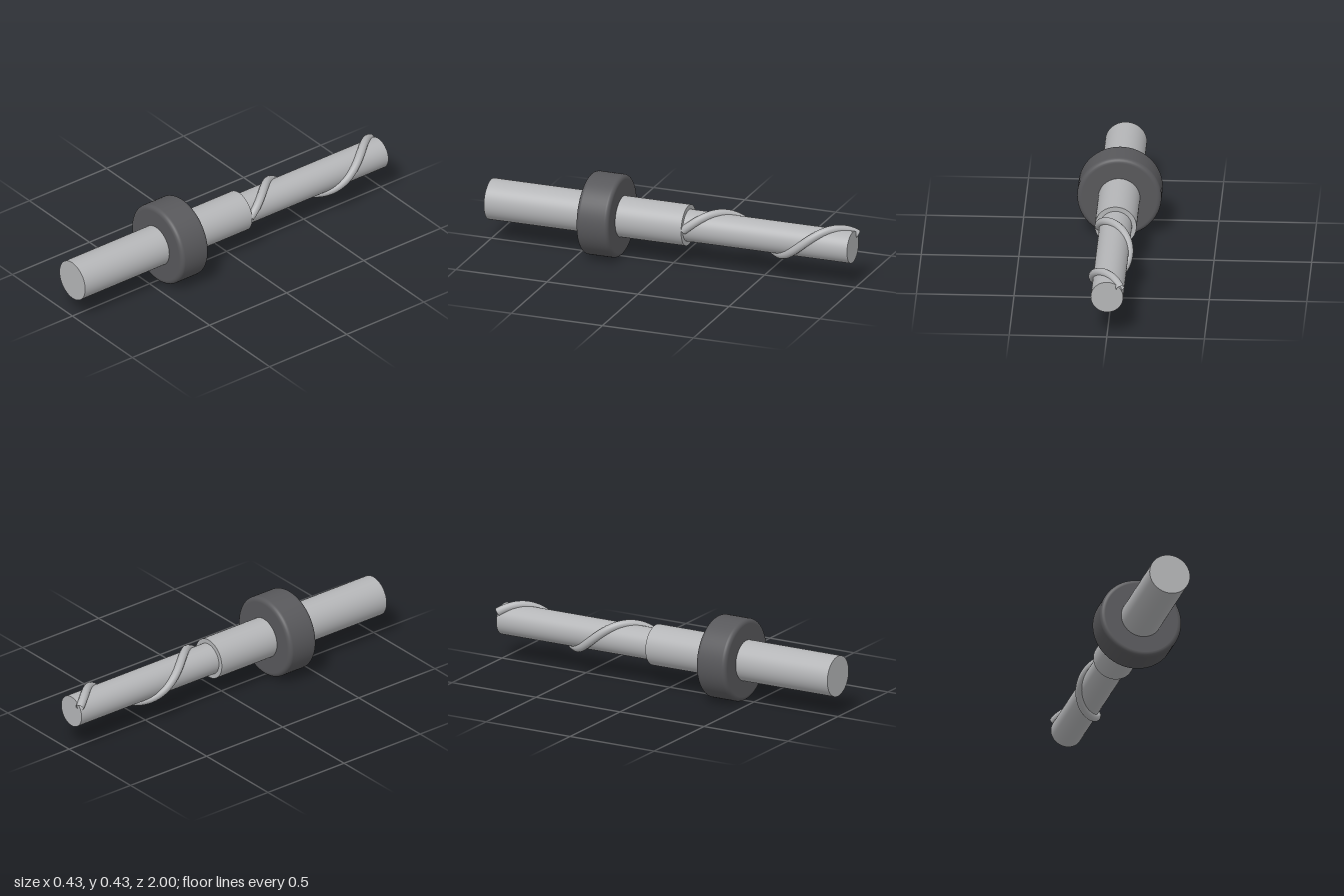
import * as THREE from 'three';

const AXIS_Y = 0.216;

// Helical path wound around the z axis
class Helix extends THREE.Curve {
  constructor(radius, zStart, zEnd, turns) {
    super();
    Object.assign(this, { radius, zStart, zEnd, turns });
  }
  getPoint(t, target = new THREE.Vector3()) {
    const a = t * this.turns * Math.PI * 2;
    return target.set(
      this.radius * Math.cos(a),
      this.radius * Math.sin(a),
      THREE.MathUtils.lerp(this.zStart, this.zEnd, t)
    );
  }
}

export function createModel() {
  const steel = new THREE.MeshStandardMaterial({ color: 0xb4b5b7, side: THREE.DoubleSide });
  steel.name = 'steel';
  const darkGrey = new THREE.MeshStandardMaterial({ color: 0x58585b });
  darkGrey.name = 'dark grey';

  const model = new THREE.Group();
  model.name = 'drillBit';
  const add = (name, geometry, material) => {
    const mesh = new THREE.Mesh(geometry, material);
    mesh.name = name;
    mesh.position.y = AXIS_Y;
    model.add(mesh);
  };

  // Solid round bar lying along z
  const bar = (radius, zBack, zFront) =>
    new THREE.CylinderGeometry(radius, radius, zFront - zBack, 64)
      .rotateX(Math.PI / 2)
      .translate(0, 0, (zBack + zFront) / 2);

  add('shank', bar(0.107, -0.083, 1), steel);
  add('shaft', bar(0.083, -0.985, -0.08), steel);

  // Stop collar: ring profile with rounded outer edges
  const outer = 0.216, inner = 0.1, half = 0.088, round = 0.022;
  const profile = [new THREE.Vector2(inner, -half), new THREE.Vector2(outer - round - 0.002, -half)];
  for (const [side, from] of [[-1, -Math.PI / 2], [1, 0]]) {
    for (let i = 0; i <= 6; i++) {
      const a = from + (i / 6) * (Math.PI / 2);
      profile.push(new THREE.Vector2(
        outer - round + round * Math.cos(a),
        side * (half - round) + round * Math.sin(a)
      ));
    }
  }
  profile.push(new THREE.Vector2(outer - round - 0.002, half), new THREE.Vector2(inner, half));
  const collar = new THREE.LatheGeometry(profile, 64).rotateX(Math.PI / 2).translate(0, 0, 0.367);
  add('stopCollar', collar, darkGrey);

  // Raised spiral cutting edge
  const helix = new Helix(0.085, -0.086, -0.986, 1.4);
  add('spiralFlute', new THREE.TubeGeometry(helix, 120, 0.022, 12), steel);

  return model;
}
